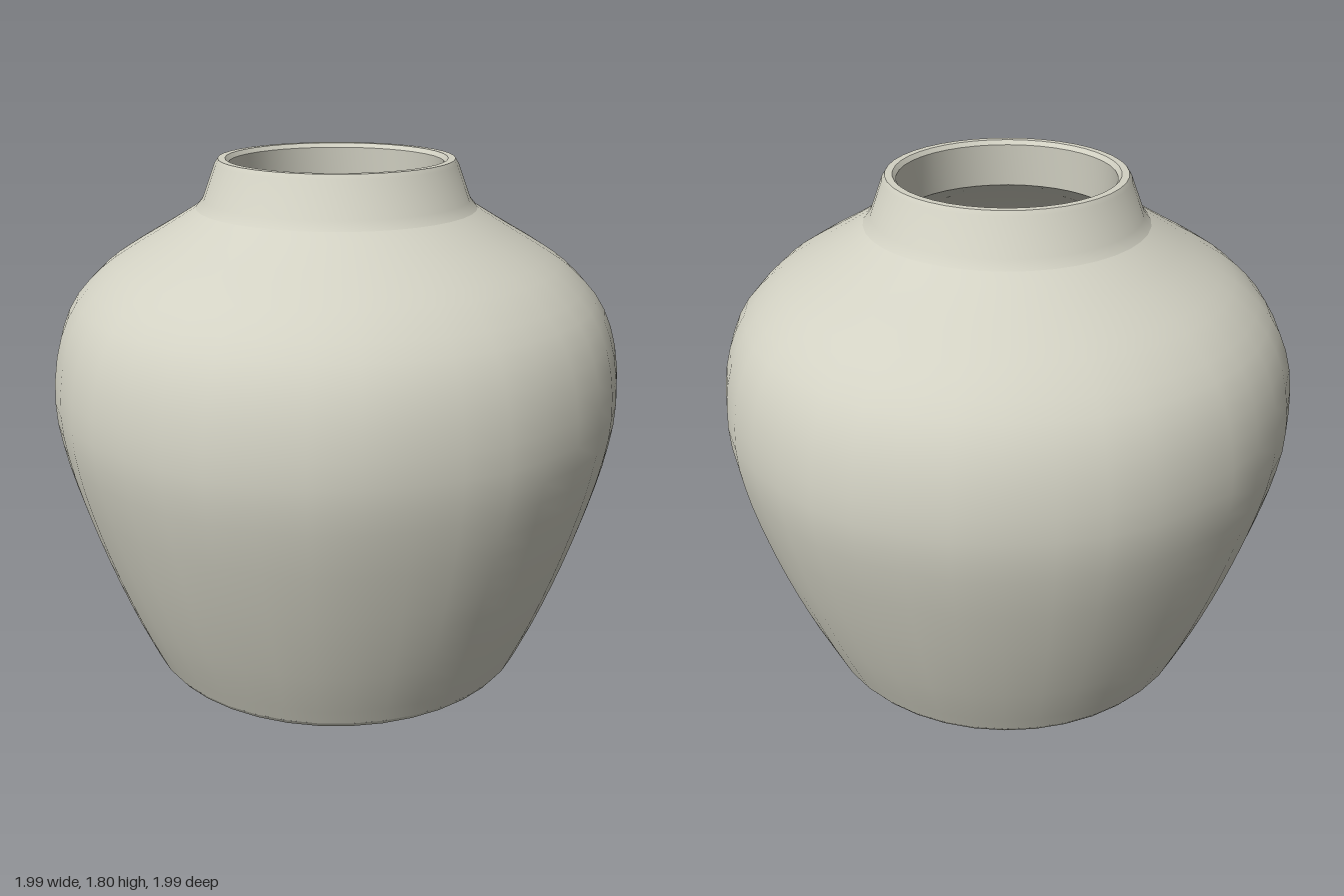
import * as THREE from 'three';
import { mergeVertices, toCreasedNormals } from 'three/addons/utils/BufferGeometryUtils.js';

const SIDES = 40;

// Uneven hand-worked ribs, fading out towards the foot and neck
function ripple(angle, y) {
  const fade = Math.sin(Math.PI * THREE.MathUtils.clamp(y / 1.64, 0, 1));
  const ribs = 0.5 * Math.sin(13 * angle + 1.5 * y) + 0.3 * Math.sin(19 * angle - 2 * y + 1)
    + 0.2 * Math.sin(7 * angle + 4 * y + 2);
  return 1 + fade * (0.008 * ribs - 0.004);
}

// Turns a profile of [radius, height] pairs; sharp edges stay creased
function turned(name, profile, material, rippled = false) {
  const points = profile.map(([r, y]) => new THREE.Vector2(r, y));
  let geometry = new THREE.LatheGeometry(points, SIDES);
  if (rippled) {
    const p = geometry.attributes.position;
    for (let i = 0; i < p.count; i++) {
      const k = ripple(Math.atan2(p.getZ(i), p.getX(i)), p.getY(i));
      p.setX(i, p.getX(i) * k);
      p.setZ(i, p.getZ(i) * k);
    }
  }
  geometry.deleteAttribute('uv');
  geometry.deleteAttribute('normal');
  geometry = toCreasedNormals(mergeVertices(geometry, 1e-4), 0.6);
  const mesh = new THREE.Mesh(geometry, material);
  mesh.name = name;
  return mesh;
}

export function createModel() {
  const jar = new THREE.Group();
  jar.name = 'jar';
  const clay = new THREE.MeshStandardMaterial({ color: 0xd2d1c3 });
  clay.name = 'pale clay';

  // Wide-shouldered body, smoothed through a few outline points
  const outline = new THREE.SplineCurve([
    [0.7, 0.02], [0.78, 0.2], [0.86, 0.41], [0.925, 0.61], [0.975, 0.8], [1, 0.98],
    [0.98, 1.17], [0.92, 1.32], [0.82, 1.43], [0.72, 1.5], [0.6, 1.57], [0.485, 1.64],
  ].map(([r, y]) => new THREE.Vector2(r, y)));
  const body = outline.getPoints(26).map((v) => [v.x, v.y]);
  jar.add(turned('body', body, clay, true));

  // Tapered neck with a thin rounded lip
  jar.add(turned('neck', [
    [0.485, 1.64], [0.46, 1.67], [0.415, 1.79], [0.405, 1.805],
    [0.38, 1.805], [0.368, 1.79], [0.375, 1.64],
  ], clay));

  // Hollow interior, running down from the neck to the floor
  jar.add(turned('interior', [
    [0.375, 1.64], [0.5, 1.57], [0.66, 1.47], [0.82, 1.34], [0.91, 1.18], [0.94, 0.98],
    [0.915, 0.8], [0.865, 0.61], [0.8, 0.41], [0.72, 0.2], [0.65, 0.1],
  ], clay));

  // Raised foot ring around a recessed base
  jar.add(turned('footRing', [[0.605, 0.05], [0.66, 0], [0.685, 0], [0.7, 0.02]], clay));

  // Floor inside and recessed disc underneath
  [['floor', 0.65, 0.1, -1], ['base', 0.605, 0.05, 1]].forEach(([name, radius, y, turn]) => {
    const disc = new THREE.Mesh(new THREE.CircleGeometry(radius, SIDES), clay);
    disc.name = name;
    disc.rotation.x = turn * Math.PI / 2;
    disc.position.y = y;
    jar.add(disc);
  });

  return jar;
}
